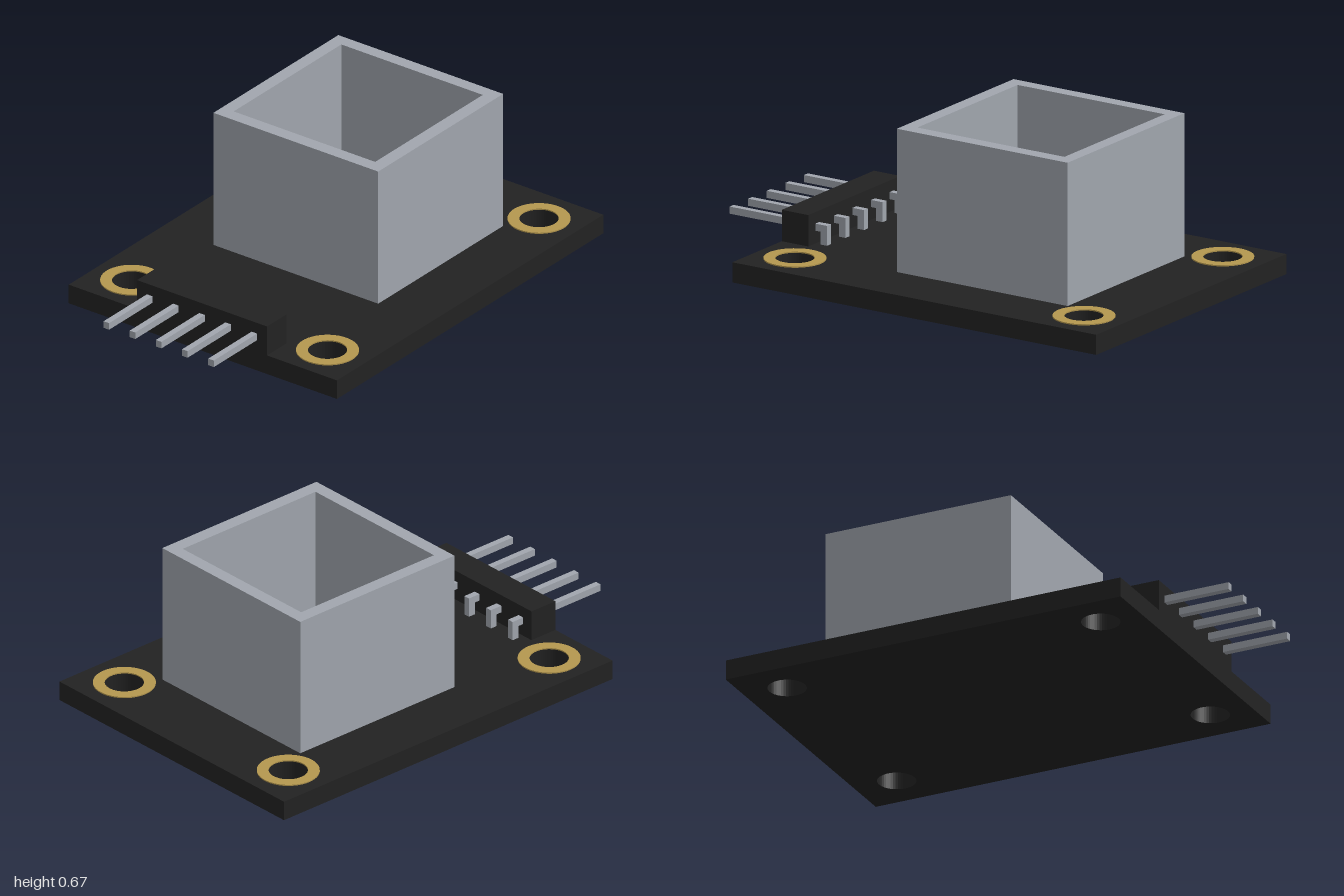
import * as THREE from 'three';

const mat = (name, color) => {
  const m = new THREE.MeshStandardMaterial({ color });
  m.name = name;
  return m;
};

// Closed path helpers for outlines and cut-outs in the ground plane
function rect(Path, x0, x1, z0, z1) {
  const p = new Path();
  p.moveTo(x0, -z1);
  p.lineTo(x1, -z1);
  p.lineTo(x1, -z0);
  p.lineTo(x0, -z0);
  p.closePath();
  return p;
}
function circle(Path, x, z, r) {
  const p = new Path();
  p.absarc(x, -z, r, 0, Math.PI * 2, false);
  return p;
}

// Raise a flat outline from height y0 to y1
function slab(shape, y0, y1) {
  const g = new THREE.ExtrudeGeometry(shape, { depth: y1 - y0, bevelEnabled: false, curveSegments: 24 });
  return g.rotateX(-Math.PI / 2).translate(0, y0, 0);
}

function box(x0, x1, y0, y1, z0, z1) {
  return new THREE.BoxGeometry(x1 - x0, y1 - y0, z1 - z0)
    .translate((x0 + x1) / 2, (y0 + y1) / 2, (z0 + z1) / 2);
}

export function createModel() {
  const black = mat('black board', 0x222222);
  const gold = mat('gold pad', 0xb5984f);
  const metal = mat('grey metal', 0xa1a6ae);

  const model = new THREE.Group();
  model.name = 'sensorModule';
  const add = (name, geometry, material, parent = model) => {
    const mesh = new THREE.Mesh(geometry, material);
    mesh.name = name;
    parent.add(mesh);
  };

  const top = 0.082;
  const holes = [];
  for (const x of [-0.546, 0.82]) for (const z of [-0.48, 0.478]) holes.push([x, z]);

  // Circuit board with four mounting holes
  const outline = rect(THREE.Shape, -0.72, 1, -0.656, 0.656);
  for (const [x, z] of holes) outline.holes.push(circle(THREE.Path, x, z, 0.077));
  add('circuitBoard', slab(outline, 0, top), black);

  // Gold rings round the holes
  const pads = new THREE.Group();
  pads.name = 'mountingPads';
  model.add(pads);
  for (const [x, z] of holes) {
    const ring = circle(THREE.Shape, x, z, 0.123);
    ring.holes.push(circle(THREE.Path, x, z, 0.077));
    add('mountingPad', slab(ring, top, top + 0.005), gold, pads);
  }

  // Open square housing: four walls and a floor
  const walls = rect(THREE.Shape, -0.117, 0.69, -0.405, 0.401);
  walls.holes.push(rect(THREE.Path, -0.06, 0.635, -0.349, 0.343));
  add('housingWalls', slab(walls, top, 0.666), metal);
  add('housingFloor', box(-0.06, 0.635, top, 0.136, -0.349, 0.343), metal);

  // Pin header
  add('headerBlock', box(-0.72, -0.595, top, 0.21, -0.322, 0.314), black);

  // Five right-angle pins, bent down into the board
  const pins = new THREE.Group();
  pins.name = 'headerPins';
  model.add(pins);
  const bend = new THREE.Shape();
  [[-1, 0.134], [-0.571, 0.134], [-0.571, 0.001], [-0.54, 0.001], [-0.54, 0.163], [-1, 0.163]]
    .forEach(([x, y], i) => (i ? bend.lineTo(x, y) : bend.moveTo(x, y)));
  const width = 0.027;
  for (let i = -2; i <= 2; i++) {
    const pin = new THREE.ExtrudeGeometry(bend, { depth: width, bevelEnabled: false });
    add('pin', pin.translate(0, 0, i * 0.128 - 0.004 - width / 2), metal, pins);
  }

  return model;
}
